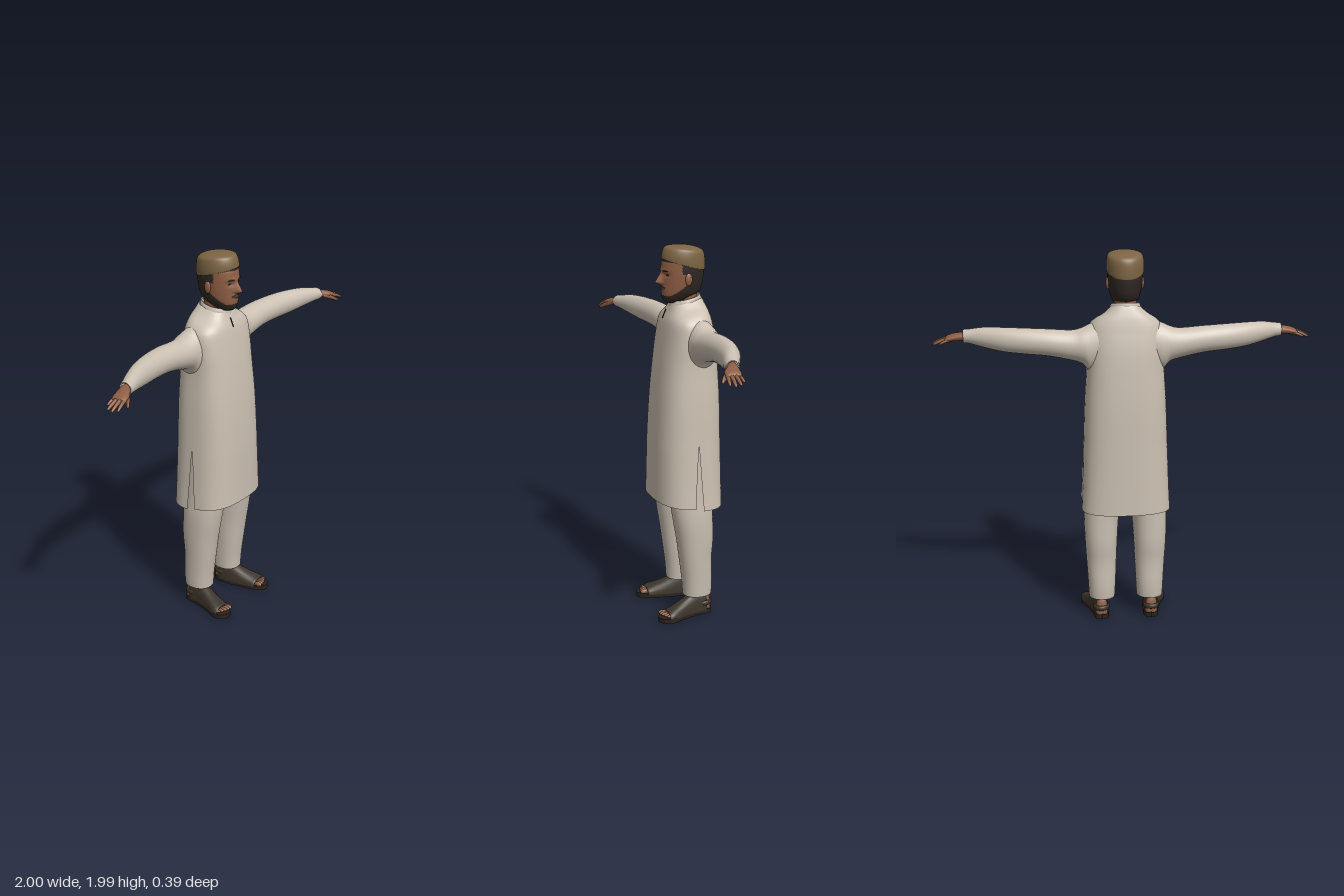
import * as THREE from 'three';
import { mergeGeometries, mergeVertices } from 'three/addons/utils/BufferGeometryUtils.js';

const mat = (name, color, side = THREE.FrontSide) => {
  const m = new THREE.MeshStandardMaterial({ color, side });
  m.name = name;
  return m;
};

// Catmull-Rom interpolation of table rows
function smooth(rows, sub = 4) {
  const out = [], at = i => rows[Math.min(Math.max(i, 0), rows.length - 1)];
  for (let i = 0; i < rows.length - 1; i++) {
    for (let s = 0; s < sub; s++) {
      const t = s / sub;
      out.push(rows[i].map((b, k) => {
        const a = at(i - 1)[k], c = at(i + 1)[k], d = at(i + 2)[k];
        return b + 0.5 * t * (c - a + t * (2 * a - 5 * b + 4 * c - d + t * (3 * (b - c) + d - a)));
      }));
    }
  }
  out.push(rows[rows.length - 1]);
  return out;
}

// Skin a stack of point rings; a closed ring wraps round to its first point
function loft(rings, closed = true) {
  const n = rings[0].length, idx = [];
  for (let j = 0; j < rings.length - 1; j++) {
    for (let i = 0; i < (closed ? n : n - 1); i++) {
      const a = j * n + i, b = j * n + (i + 1) % n;
      idx.push(a, b + n, b, a, a + n, b + n);
    }
  }
  const g = new THREE.BufferGeometry();
  g.setAttribute('position', new THREE.Float32BufferAttribute(rings.flat(2), 3));
  g.setIndex(idx);
  g.computeVertexNormals();
  return g;
}

const spow = (v, p) => Math.sign(v) * Math.abs(v) ** p;

// Upright form from rows [y, half width, front z, back z, tilt, centre x]
const upright = (rows, n = 40, p = 1, sub = 4) => loft(smooth(rows, sub).map(([y, w, zf, zb, tilt = 0, cx = 0]) =>
  Array.from({ length: n }, (_, i) => {
    const t = i / n * Math.PI * 2;
    const z = (zf + zb) / 2 + (zf - zb) / 2 * spow(Math.sin(t), p);
    return [cx + w * spow(Math.cos(t), p), y + tilt * z, z];
  })));

// Sideways form from rows [x, y, z, half height, half depth]
const sideways = (rows, n = 24, sub = 4) => loft(smooth(rows, sub).map(([x, y, z, h, d]) =>
  Array.from({ length: n }, (_, i) => {
    const t = i / n * Math.PI * 2;
    return [x, y + h * Math.cos(t), z - d * Math.sin(t)];
  })));

// Foot-like form along z from rows [z, centre x, half width, height], flat underneath
const footForm = (rows, base, n = 24) => loft(smooth(rows).map(([z, cx, w, h]) =>
  Array.from({ length: n }, (_, i) => {
    const t = i / n * Math.PI * 2;
    return [cx + w * spow(Math.sin(t), 0.8), base + h * Math.max(0, Math.cos(t)) ** 0.8, z];
  })));

function mirrored(g) {
  const m = g.clone().scale(-1, 1, 1), ix = m.index.array;
  for (let i = 0; i < ix.length; i += 3) [ix[i], ix[i + 1]] = [ix[i + 1], ix[i]];
  return m;
}

// Sort triangles into material groups by the position of their centre
function paint(g, count, rule) {
  const ix = g.index.array, p = g.attributes.position, sets = Array.from({ length: count }, () => []);
  for (let i = 0; i < ix.length; i += 3) {
    const f = [ix[i], ix[i + 1], ix[i + 2]];
    const mean = k => f.reduce((s, v) => s + p.getComponent(v, k) / 3, 0);
    sets[rule(mean(0), mean(1), mean(2))].push(...f);
  }
  g.setIndex(sets.flat());
  let start = 0;
  sets.forEach((s, k) => { g.addGroup(start, s.length, k); start += s.length; });
  return g;
}

const ball = (x, y, z, rx, ry, rz) => new THREE.SphereGeometry(1, 20, 14).scale(rx, ry, rz).translate(x, y, z);

export function createModel() {
  const group = new THREE.Group();
  const cloth = mat('robe cloth', 0xcbc0b2, THREE.DoubleSide);
  const linen = mat('trouser cloth', 0xc8beb1, THREE.DoubleSide);
  const skin = mat('skin', 0x8f5e44);
  const hair = mat('hair', 0x2f2822);
  const capCloth = mat('cap cloth', 0x7d6544, THREE.DoubleSide);
  const leather = mat('sandal leather', 0x3d352c);
  const soleMat = mat('sole', 0x2a231e);
  const dark = mat('dark detail', 0x2a2018);
  const lip = mat('lips', 0x6f463a);
  const add = (name, g, m) => {
    const mesh = new THREE.Mesh(g, m);
    mesh.name = name;
    group.add(mesh);
  };
  const pair = (name, g, m) => {
    add('left' + name, g, m);
    add('right' + name, mirrored(g), m);
  };

  // Long robe: front and back panels joined above the side slits
  const robeRows = smooth([
    [0.65, 0.236, 0.172, -0.192], [0.76, 0.23, 0.17, -0.19], [0.87, 0.226, 0.168, -0.188],
    [0.985, 0.222, 0.165, -0.186], [1.2, 0.214, 0.152, -0.182], [1.38, 0.203, 0.133, -0.172],
    [1.5, 0.203, 0.115, -0.16], [1.59, 0.195, 0.098, -0.143], [1.635, 0.165, 0.087, -0.13],
    [1.67, 0.11, 0.074, -0.115], [1.7, 0.078, 0.062, -0.102],
  ], 5);
  const panel = front => loft(robeRows.map(([y, w, zf, zb]) => {
    const k = Math.max(0, (0.985 - y) / 0.335);
    const seam = -0.015 + k * (front ? 0.02 : -0.025);
    const rise = 0.22 * THREE.MathUtils.smoothstep(y, 1.58, 1.69);
    return Array.from({ length: 29 }, (_, i) => {
      const t = Math.PI * (i / 28 + (front ? 0 : 1)), s = Math.abs(Math.sin(t)) ** 0.75;
      const z = seam + ((front ? zf : zb) - seam) * s;
      return [w * spow(Math.cos(t), 0.75), y - rise * z - (front ? 0.018 * k * (1 - s) : 0.032 * k), z];
    });
  }), false);
  const halves = mergeGeometries([panel(true), panel(false)]);
  halves.deleteAttribute('normal');
  const robe = mergeVertices(halves);
  robe.computeVertexNormals();
  add('robe', robe, cloth);
  add('collar', upright([[1.68, 0.082, 0.066, -0.105, -0.22], [1.7, 0.08, 0.065, -0.104, -0.22],
    [1.717, 0.074, 0.06, -0.1, -0.2], [1.716, 0.068, 0.054, -0.094, -0.2]]), cloth);
  add('neckOpening', new THREE.BoxGeometry(0.004, 0.05, 0.004).rotateX(-0.4).translate(-0.014, 1.638, 0.089), dark);

  // Sleeves, flared into the shoulder
  pair('Sleeve', sideways([
    [0.13, 1.515, -0.045, 0.125, 0.085], [0.19, 1.5, -0.047, 0.122, 0.084], [0.225, 1.511, -0.05, 0.095, 0.08],
    [0.28, 1.514, -0.05, 0.079, 0.073], [0.4, 1.53, -0.047, 0.07, 0.068], [0.52, 1.537, -0.033, 0.067, 0.063],
    [0.63, 1.542, -0.008, 0.063, 0.057], [0.73, 1.549, 0.026, 0.052, 0.047], [0.8, 1.55, 0.053, 0.038, 0.04],
    [0.835, 1.549, 0.064, 0.034, 0.036], [0.834, 1.549, 0.064, 0.026, 0.028],
  ], 28), cloth);

  // Hands
  pair('Palm', sideways([[0.81, 1.548, 0.06, 0.022, 0.025], [0.845, 1.546, 0.07, 0.022, 0.03],
    [0.88, 1.541, 0.085, 0.02, 0.04], [0.92, 1.532, 0.092, 0.015, 0.04], [0.932, 1.528, 0.093, 0.004, 0.03]], 20), skin);
  const finger = (x, y, z, x2, y2, z2, r) => sideways([0, 0.35, 0.7, 0.94, 1].map((t, i) => {
    const s = r * [1, 0.95, 0.85, 0.6, 0.05][i];
    return [x + (x2 - x) * t, y + (y2 - y) * t + 0.016 * t * (1 - t), z + (z2 - z) * t, s, s];
  }), 10, 2);
  [[0.905, 1.532, 0.12, 0.982, 1.502, 0.136, 0.0105], [0.91, 1.534, 0.103, 1, 1.5, 0.114, 0.011],
    [0.905, 1.533, 0.083, 0.994, 1.502, 0.085, 0.0105], [0.895, 1.532, 0.063, 0.962, 1.507, 0.057, 0.009],
    [0.852, 1.538, 0.092, 0.925, 1.502, 0.15, 0.0135]].forEach((f, i) =>
    pair(['IndexFinger', 'MiddleFinger', 'RingFinger', 'LittleFinger', 'Thumb'][i], finger(...f), skin));

  // Trousers, hidden above the robe hem
  pair('TrouserLeg', upright([
    [0.115, 0.07, 0.036, -0.118, 0, 0.13], [0.15, 0.072, 0.038, -0.121, 0, 0.13], [0.21, 0.075, 0.043, -0.122, 0, 0.13],
    [0.32, 0.081, 0.057, -0.118, 0, 0.131], [0.43, 0.087, 0.072, -0.126, 0, 0.132], [0.56, 0.093, 0.093, -0.124, 0, 0.129],
    [0.7, 0.097, 0.108, -0.125, 0, 0.115], [0.95, 0.1, 0.11, -0.13, 0, 0.1],
  ], 32, 0.9), linen);

  // Sandals: sole, bare foot, upper, heel strap and toes
  const outline = new THREE.Shape();
  outline.setFromPoints(new THREE.SplineCurve([[0.135, -0.12], [0.17, -0.1], [0.178, -0.03], [0.205, 0.06], [0.233, 0.13],
    [0.218, 0.18], [0.172, 0.195], [0.135, 0.16], [0.115, 0.08], [0.098, -0.02], [0.1, -0.1], [0.135, -0.12]]
    .map(([x, z]) => new THREE.Vector2(x, -z))).getPoints(48));
  const sole = mergeVertices(new THREE.ExtrudeGeometry(outline, { depth: 0.026, bevelEnabled: false })
    .rotateX(-Math.PI / 2).translate(0, 0.001, 0));
  pair('Sole', sole, soleMat);
  pair('Foot', footForm([[-0.112, 0.135, 0.004, 0.01], [-0.105, 0.135, 0.027, 0.085], [-0.07, 0.136, 0.034, 0.12],
    [-0.02, 0.138, 0.036, 0.115], [0.06, 0.153, 0.038, 0.065], [0.13, 0.175, 0.044, 0.03], [0.15, 0.178, 0.04, 0.01]], 0.02), skin);
  pair('SandalUpper', footForm([[-0.085, 0.136, 0.03, 0.1], [-0.08, 0.136, 0.039, 0.118], [-0.03, 0.138, 0.043, 0.115],
    [0.02, 0.147, 0.046, 0.09], [0.07, 0.16, 0.051, 0.066], [0.12, 0.175, 0.056, 0.046], [0.145, 0.178, 0.054, 0.036],
    [0.146, 0.178, 0.045, 0.028]], 0.02), leather);
  pair('HeelStrap', new THREE.TorusGeometry(0.037, 0.008, 8, 28).rotateX(Math.PI / 2).scale(1, 1.8, 1.05)
    .translate(0.136, 0.062, -0.075), leather);
  for (let i = 0; i < 5; i++) {
    const r = 0.0125 - i * 0.001;
    pair('Toe' + (i + 1), ball(0.146 + i * 0.0175, 0.038, 0.163 - i * i * 0.0015, r, r, 0.024), skin);
  }

  // Head, shaped with nose, brow and eye hollows, coloured as face, hair and beard
  add('neck', upright([[1.64, 0.06, 0.04, -0.085], [1.7, 0.058, 0.036, -0.085], [1.78, 0.06, 0.035, -0.085]], 28), skin);
  const head = upright([
    [1.694, 0.004, 0.06, 0.045], [1.698, 0.03, 0.082, 0.01], [1.715, 0.052, 0.099, -0.04], [1.745, 0.071, 0.106, -0.09],
    [1.775, 0.08, 0.106, -0.108], [1.81, 0.086, 0.106, -0.116], [1.85, 0.09, 0.107, -0.12], [1.89, 0.092, 0.106, -0.121],
    [1.915, 0.092, 0.1, -0.119], [1.935, 0.08, 0.08, -0.1], [1.945, 0.003, -0.01, -0.016],
  ], 96, 1, 6);
  const p = head.attributes.position, bump = (v, c, s) => Math.exp(-(((v - c) / s) ** 2));
  for (let i = 0; i < p.count; i++) {
    const x = p.getX(i), y = p.getY(i), z = p.getZ(i);
    if (z < 0.03) continue;
    const ridge = y > 1.805 ? Math.max(0, (1.865 - y) / 0.06) : Math.max(0, 1 - (1.805 - y) / 0.018);
    p.setZ(i, z + 0.04 * ridge * bump(x, 0, 0.008 + 0.007 * ridge) + 0.006 * bump(y, 1.775, 0.01) * bump(x, 0, 0.025)
      + 0.005 * bump(y, 1.868, 0.01) * bump(x, 0, 0.05) - 0.008 * bump(y, 1.845, 0.011) * bump(Math.abs(x), 0.034, 0.018));
  }
  head.computeVertexNormals();
  add('head', paint(head, 2, (x, y, z) => {
    const scalp = y > 1.912 || z < -0.018 || (z < 0.025 && y > 1.85);
    const beard = y < 1.738 + Math.max(0, 0.075 - z) * 0.75;
    const moustache = z > 0.08 && Math.abs(x) < 0.03 && Math.abs(y - 1.786 + Math.abs(x) * 0.3) < 0.005;
    return scalp || beard || moustache ? 1 : 0;
  }), [skin, hair]);
  pair('Ear', ball(0.09, 1.825, -0.008, 0.01, 0.032, 0.019), skin);
  pair('Eye', ball(0.034, 1.845, 0.087, 0.012, 0.0045, 0.007), dark);
  pair('Eyebrow', ball(0, 0, 0, 0.019, 0.0035, 0.005).rotateY(0.4).translate(0.036, 1.866, 0.1), hair);
  add('mouth', ball(0, 1.772, 0.108, 0.021, 0.005, 0.006), lip);

  // Tilted round cap
  add('cap', upright([
    [1.894, 0.094, 0.1, -0.12, 0.28], [1.896, 0.097, 0.105, -0.124, 0.28], [1.925, 0.098, 0.102, -0.125, 0.23],
    [1.955, 0.095, 0.094, -0.123, 0.17], [1.974, 0.088, 0.082, -0.114, 0.13], [1.984, 0.068, 0.058, -0.09, 0.1],
    [1.99, 0.035, 0.025, -0.05, 0.08], [1.991, 0.001, -0.01, -0.012, 0.06],
  ], 48), capCloth);
  return group;
}
